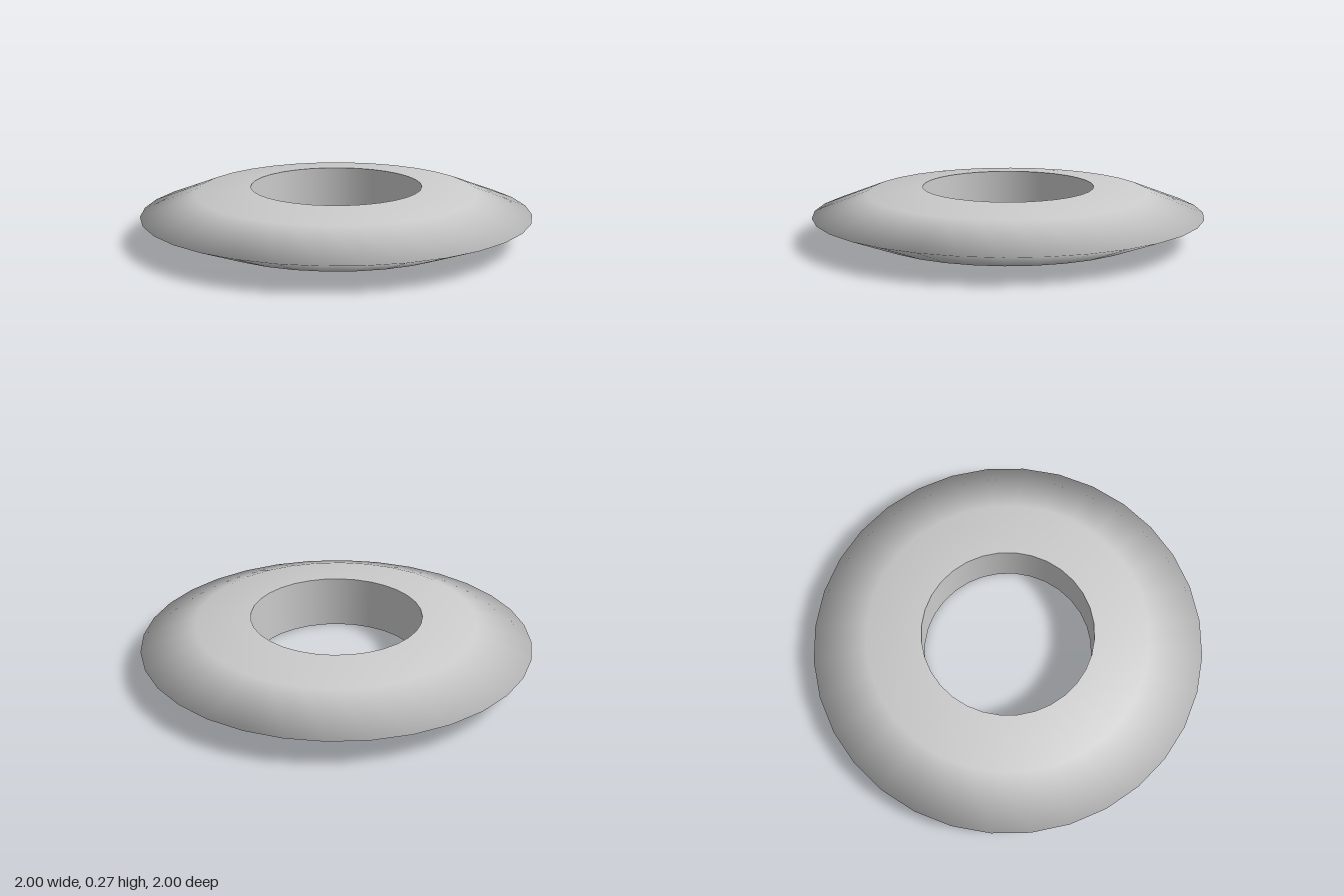
import * as THREE from 'three';

const SEGMENTS = 32;
const HEIGHT = 0.273;
const HOLE = 0.438;

// Spins a list of [radius, y] points around the y axis.
function spin(name, points, material) {
  const profile = points.map(([r, y]) => new THREE.Vector2(r, y));
  const mesh = new THREE.Mesh(new THREE.LatheGeometry(profile, SEGMENTS), material);
  mesh.name = name;
  return mesh;
}

export function createModel() {
  const group = new THREE.Group();
  group.name = 'ring';
  const material = new THREE.MeshStandardMaterial({ color: 0xcccccc });

  // Smooth tapered body, from the lower hole edge round the thin rim to the upper one
  const lower = [[HOLE, 0], [0.72, 0.028]];
  const upper = lower.map(([r, y]) => [r, HEIGHT - y]).reverse();
  group.add(spin('taperedBody', [...lower, [1, HEIGHT / 2], ...upper], material));

  // Straight wall of the hole, meeting the body at a sharp edge
  group.add(spin('holeWall', [[HOLE, HEIGHT], [HOLE, 0]], material));

  return group;
}
